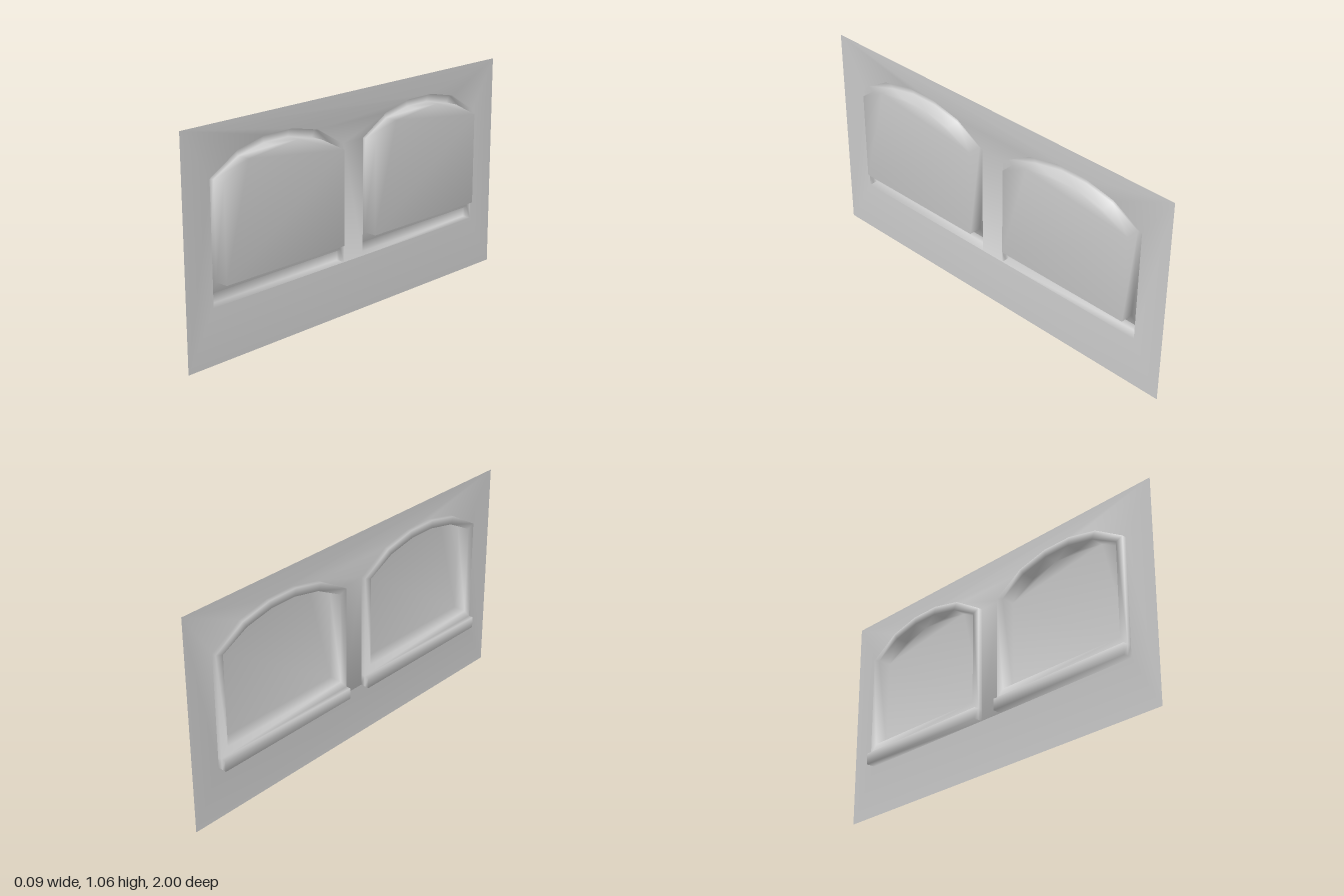
import * as THREE from 'three';

// Parts are drawn facing +z (x along the wall, z outward) and then turned to face -x.
const FRAME = 0.022, SILL = 0.045, PANE = -0.043;
const SILL_BOTTOM = 0.262, SILL_TOP = 0.318, HALF = 0.394;

const material = new THREE.MeshStandardMaterial({ color: 0xcccccc, side: THREE.DoubleSide });

// Counter-clockwise outline with a faceted arch: bottom, shoulder, mid and crown
function archOutline(half, bottom, shoulder, mid, crown) {
  const right = [[half, bottom], [half, shoulder], mid, crown];
  const left = right.map(([x, y]) => [-x, y]).reverse();
  return [...right, ...left];
}
const outer = archOutline(HALF, SILL_TOP, 0.83, [0.237, 0.922], [0.078, 0.957]);
const inner = archOutline(0.355, 0.362, 0.815, [0.215, 0.888], [0.07, 0.918]);

const at = (outline, z) => outline.map(([x, y]) => [x, y, z]);
const close = (ring) => [...ring, ring[0]];

// Strips of quads between consecutive rows of points
function loft(rows) {
  const n = rows[0].length, index = [];
  for (let r = 0; r < rows.length - 1; r++) {
    for (let i = 0; i < n - 1; i++) {
      const a = r * n + i, b = a + n;
      index.push(a, a + 1, b + 1, a, b + 1, b);
    }
  }
  const g = new THREE.BufferGeometry();
  g.setAttribute('position', new THREE.Float32BufferAttribute(rows.flat(2), 3));
  g.setIndex(index);
  return g;
}

const toVectors = (outline, dx = 0) => outline.map(([x, y]) => new THREE.Vector2(x + dx, y));

// One smooth normal per position, shared by all the parts that meet there
function smoothTogether(meshes) {
  const sums = new Map();
  const p = [0, 1, 2].map(() => new THREE.Vector3());
  const key = (v) => [v.x, v.y, v.z].map((c) => Math.round(c * 1e4)).join();
  for (const { geometry: g } of meshes) {
    const pos = g.attributes.position;
    for (let i = 0; i < g.index.count; i += 3) {
      p.forEach((v, k) => v.fromBufferAttribute(pos, g.index.getX(i + k)));
      const n = p[1].clone().sub(p[0]).cross(p[2].clone().sub(p[0]));
      for (const v of p) {
        const k = key(v);
        if (!sums.has(k)) sums.set(k, new THREE.Vector3());
        sums.get(k).add(n);
      }
    }
  }
  for (const { geometry: g } of meshes) {
    const pos = g.attributes.position, normals = [];
    for (let i = 0; i < pos.count; i++) {
      const n = sums.get(key(p[0].fromBufferAttribute(pos, i))) ?? new THREE.Vector3(0, 0, 1);
      normals.push(...n.clone().normalize().toArray());
    }
    g.setAttribute('normal', new THREE.Float32BufferAttribute(normals, 3));
  }
}

export function createModel() {
  const model = new THREE.Group();
  model.name = 'wallWithWindows';
  const meshes = [];
  const add = (parent, name, geometry, dx = 0) => {
    geometry.translate(dx, 0, 0).rotateY(-Math.PI / 2);
    const mesh = new THREE.Mesh(geometry, material);
    mesh.name = name;
    parent.add(mesh);
    meshes.push(mesh);
  };

  // Thin wall, cut out behind each window and its sill
  const centres = [0.457, -0.457];
  const wall = new THREE.Shape(toVectors([[-1, 0], [1, 0], [1, 1.06], [-1, 1.06]]));
  const opening = [[-HALF, SILL_BOTTOM], [HALF, SILL_BOTTOM], ...outer];
  for (const c of centres) wall.holes.push(new THREE.Path(toVectors(opening, c)));
  add(model, 'wall', new THREE.ShapeGeometry(wall));

  for (const c of centres) {
    const win = new THREE.Group();
    win.name = c > 0 ? 'frontWindow' : 'backWindow';
    model.add(win);

    // Raised frame: outer edge (open along the sill), face and deep inner reveal
    add(win, 'frameEdge', loft([at(outer, 0), at(outer, FRAME)]), c);
    add(win, 'frameFace', loft([close(at(outer, FRAME)), close(at(inner, FRAME))]), c);
    add(win, 'reveal', loft([close(at(inner, FRAME)), close(at(inner, PANE))]), c);

    // Recessed pane
    const pane = new THREE.ShapeGeometry(new THREE.Shape(toVectors(inner)));
    add(win, 'pane', pane.translate(0, 0, PANE), c);

    // Projecting sill, hollow at the back, with closed ends
    const profile = [[SILL_BOTTOM, 0], [SILL_BOTTOM, SILL], [SILL_TOP, SILL], [SILL_TOP, FRAME]];
    const section = (x) => profile.map(([y, z]) => [x, y, z]);
    add(win, 'sill', loft([section(HALF), section(-HALF)]), c);
    for (const s of [1, -1]) {
      const row = (y) => [SILL, FRAME, 0].map((z) => [s * HALF, y, z]);
      const rows = [row(SILL_BOTTOM), row(SILL_TOP)];
      add(win, 'sillEnd', loft(s > 0 ? rows : rows.reverse()), c);
    }
  }

  smoothTogether(meshes);
  return model;
}
